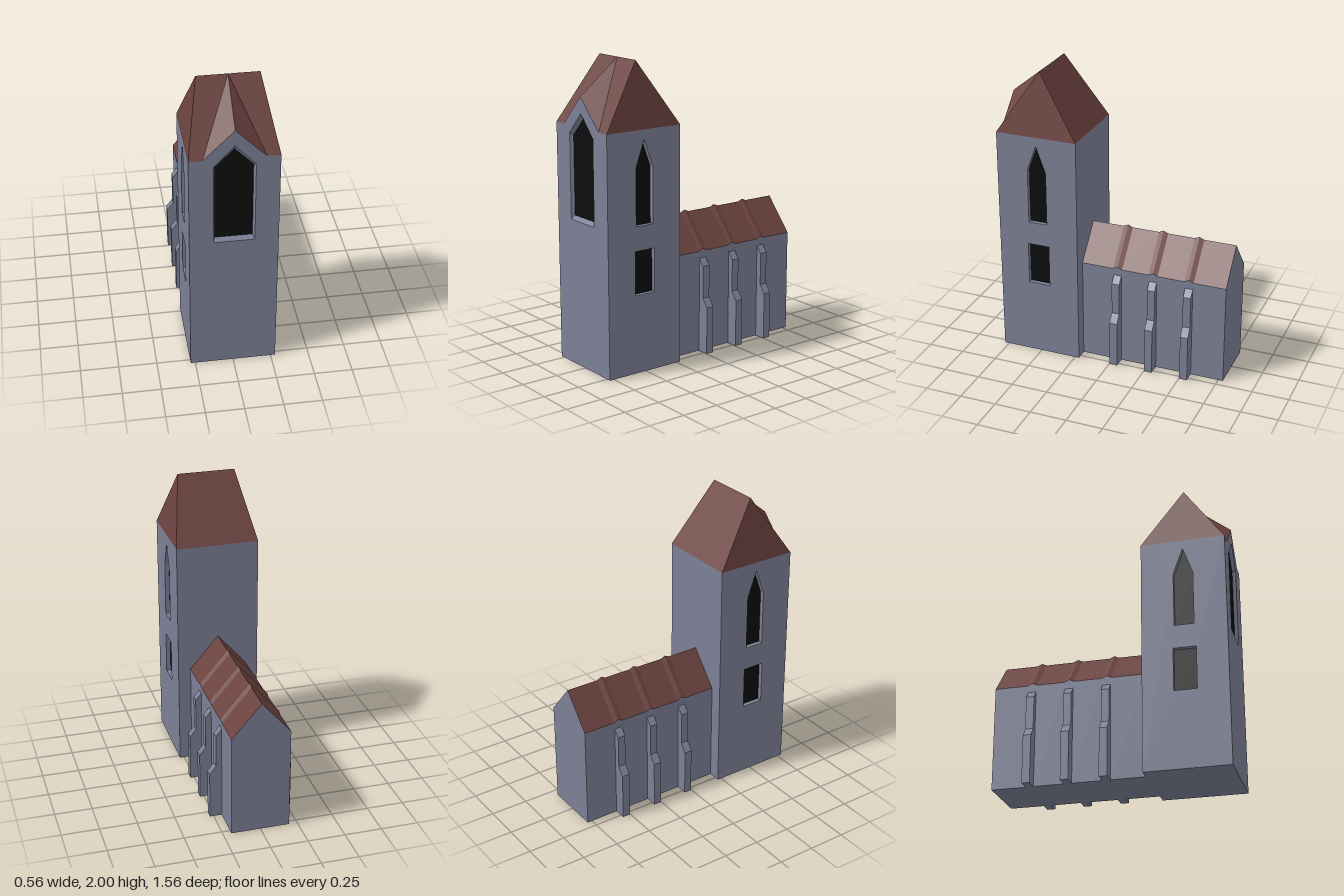
import * as THREE from 'three';

const stone = new THREE.MeshStandardMaterial({ color: 0x7c8096 });
stone.name = 'stone';
const tile = new THREE.MeshStandardMaterial({ color: 0x6b423f });
tile.name = 'roofTile';
const dark = new THREE.MeshStandardMaterial({ color: 0x0d0d0d });
dark.name = 'darkOpening';

// Flat-shaded geometry from convex polygons, counter-clockwise from outside
function faces(polys) {
  const pos = [];
  for (const p of polys)
    for (let i = 1; i < p.length - 1; i++) pos.push(...p[0], ...p[i], ...p[i + 1]);
  const g = new THREE.BufferGeometry();
  g.setAttribute('position', new THREE.Float32BufferAttribute(pos, 3));
  g.computeVertexNormals();
  return g;
}

// The polygons together with their copies mirrored in x
const mirrored = (polys) =>
  polys.concat(polys.map((p) => p.map(([x, y, z]) => [-x, y, z]).reverse()));

function mesh(name, geometry, material, parent) {
  const m = new THREE.Mesh(geometry, material);
  m.name = name;
  parent.add(m);
  return m;
}

const shapeOf = (pts) => new THREE.Shape(pts.map(([x, y]) => new THREE.Vector2(x, y)));

// Outline of a window: half width, sill, shoulder and optional peak height
function outline(w, sill, shoulder, peak) {
  const pts = [[-w, sill], [w, sill], [w, shoulder]];
  if (peak) pts.push([0, peak]);
  pts.push([-w, shoulder]);
  return pts;
}

// Wall facing +z with recessed windows
function wall(name, pts, windows) {
  const group = new THREE.Group();
  group.name = name;
  const shape = shapeOf(pts);
  for (const { outer, inner, depth } of windows) {
    shape.holes.push(new THREE.Path(outer.map(([x, y]) => new THREE.Vector2(x, y))));
    const reveal = outer.map(([x, y], i) => {
      const j = (i + 1) % outer.length;
      return [[x, y, 0], [...outer[j], 0], [...inner[j], -depth], [...inner[i], -depth]];
    });
    mesh('windowReveal', faces(reveal), stone, group);
    mesh('windowOpening', new THREE.ShapeGeometry(shapeOf(inner)), dark, group).position.z = -depth;
  }
  mesh('wallFace', new THREE.ShapeGeometry(shape), stone, group);
  return group;
}

const H = 0.28, FRONT = 0.782, BACK = 0.222, MID = 0.502, EAVE = 1.58;

function tower() {
  const g = new THREE.Group();
  g.name = 'tower';

  // Front wall with gable and large pointed window
  const front = wall('frontWall',
    [[-H, 0], [H, 0], [H, EAVE], [0.195, EAVE], [0, 1.775], [-0.195, EAVE], [-H, EAVE]],
    [{ outer: outline(0.13, 0.97, 1.53, 1.67), inner: outline(0.118, 0.995, 1.515, 1.637), depth: 0.022 }]);
  front.position.z = FRONT;
  g.add(front);

  // Side walls with a lancet above a square-headed window
  const lancet = outline(0.065, 0.97, 1.34, 1.52);
  const lower = outline(0.075, 0.52, 0.81);
  for (const s of [1, -1]) {
    const side = wall(s > 0 ? 'leftWall' : 'rightWall', [[-H, 0], [H, 0], [H, EAVE], [-H, EAVE]],
      [lancet, lower].map((o) => ({ outer: o, inner: o, depth: 0.03 })));
    side.rotation.y = (s * Math.PI) / 2;
    side.position.set(s * H, 0, MID);
    g.add(side);
  }

  // Back wall and underside
  mesh('backWallAndBase', faces([
    [[H, 0, BACK], [-H, 0, BACK], [-H, EAVE, BACK], [H, EAVE, BACK]],
    [[-H, 0, BACK], [H, 0, BACK], [H, 0, FRONT], [-H, 0, FRONT]],
  ]), stone, g);

  // Hipped roof with a ridge across and a front gable folded into it
  const end = [0.195, 2, MID], top = [0, 2, MID], foot = [0.195, EAVE, FRONT];
  const corner = [H, EAVE, FRONT], rear = [H, EAVE, BACK];
  mesh('towerRoof', faces([
    ...mirrored([
      [corner, rear, end],
      [foot, corner, end],
      [foot, end, top],
      [foot, top, [0, 1.775, FRONT]],
    ]),
    [rear, [-H, EAVE, BACK], [-0.195, 2, MID], end],
  ]), tile, g);
  return g;
}

function nave() {
  const g = new THREE.Group();
  g.name = 'nave';
  const w = 0.195, eave = 0.692, ridge = 0.917, rear = -0.782;
  const bays = [-0.03, -0.28, -0.53];

  // Stations along the nave; the roof lifts to a crease over each bay
  const stations = [[BACK, 0]];
  for (const z of bays) stations.push([z + 0.032, 0], [z, 0.015], [z - 0.032, 0]);
  stations.push([rear, 0]);

  const walls = [], roof = [];
  for (let i = 0; i < stations.length - 1; i++) {
    const [z0, a] = stations[i], [z1, b] = stations[i + 1];
    walls.push([[w, 0, z0], [w, 0, z1], [w, eave + b, z1], [w, eave + a, z0]]);
    roof.push([[w, eave + a, z0], [w, eave + b, z1], [0, ridge + b, z1], [0, ridge + a, z0]]);
  }
  mesh('naveWalls', faces([
    ...mirrored(walls),
    [[w, 0, rear], [-w, 0, rear], [-w, eave, rear], [0, ridge, rear], [w, eave, rear]],
    [[-w, 0, rear], [w, 0, rear], [w, 0, BACK], [-w, 0, BACK]],
  ]), stone, g);
  mesh('naveRoof', faces(mirrored(roof)), tile, g);

  // Stepped buttresses
  const profile = shapeOf([[0.19, 0], [0.276, 0], [0.276, 0.32], [0.234, 0.377],
    [0.234, 0.597], [0.195, 0.645], [0.19, 0.645]]);
  const buttress = new THREE.ExtrudeGeometry(profile, { depth: 0.053, bevelEnabled: false });
  buttress.translate(0, 0, -0.0265);
  for (const z of bays)
    for (const s of [1, -1]) {
      const b = mesh('buttress', buttress, stone, g);
      b.position.z = z;
      if (s < 0) b.rotation.y = Math.PI;
    }
  return g;
}

export function createModel() {
  const model = new THREE.Group();
  model.name = 'church';
  model.add(tower(), nave());
  return model;
}
